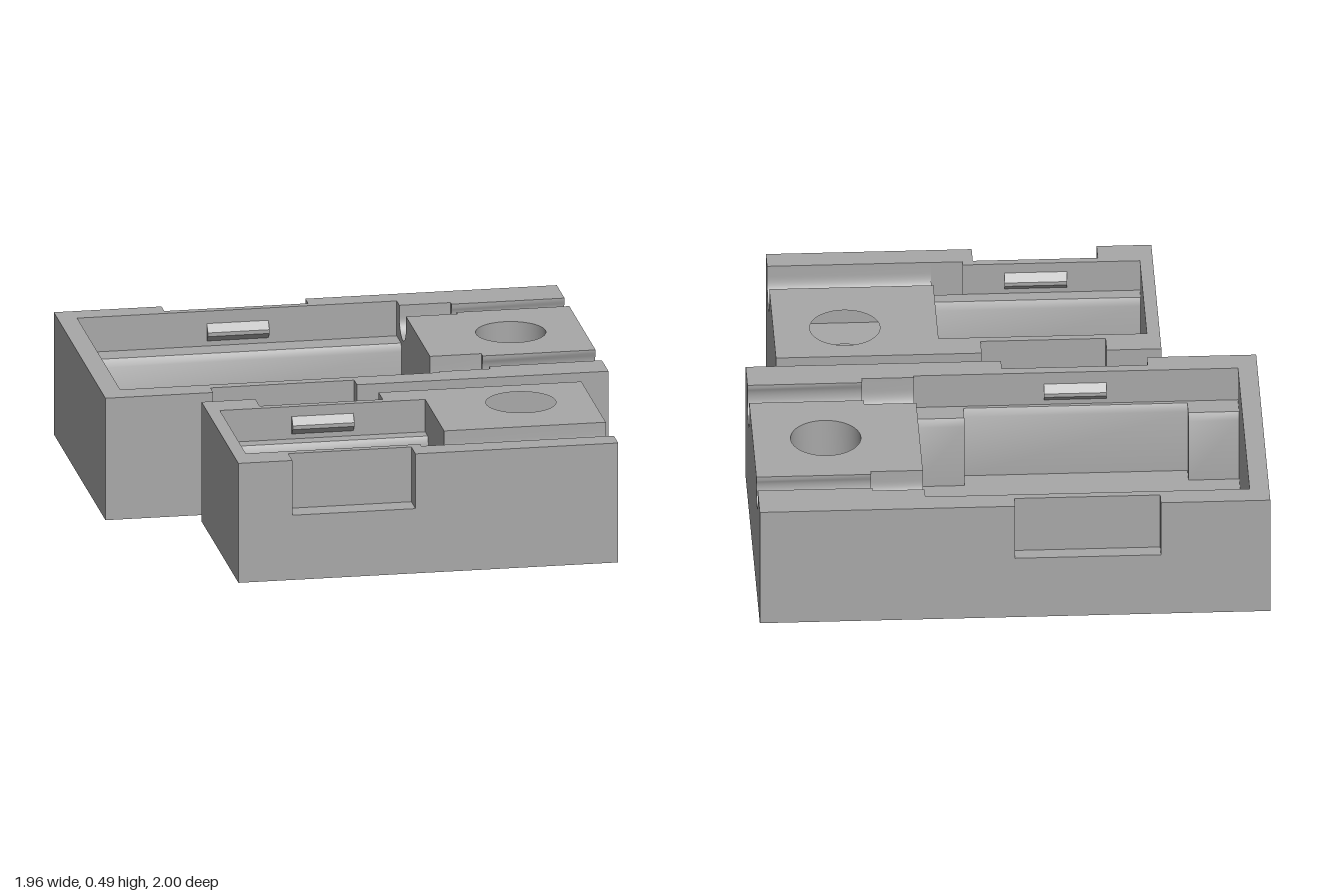
import * as THREE from 'three';
import { toCreasedNormals } from 'three/addons/utils/BufferGeometryUtils.js';

const grey = new THREE.MeshStandardMaterial({ color: 0xa8a8a8 });
grey.name = 'grey plastic';

const FLOOR = 0.06, NOTCH = 0.26, GROOVE = 0.33;

const polygon = (pts) => new THREE.Shape(pts.map(([a, b]) => new THREE.Vector2(a, b)));
const rect = (x0, x1, z0, z1) => [[x0, z0], [x1, z0], [x1, z1], [x0, z1]];
const circle = ([x, z, r]) => new THREE.Path().absarc(x, z, r, 0, Math.PI * 2, true);

function addMesh(group, name, geometry) {
  const mesh = new THREE.Mesh(toCreasedNormals(geometry, 0.5), grey);
  mesh.name = name;
  group.add(mesh);
}

// Plan outline (x, z) raised from y0 to y1
function slab(group, name, pts, holes, y0, y1) {
  const shape = polygon(pts);
  shape.holes.push(...holes);
  const geo = new THREE.ExtrudeGeometry(shape, { depth: y1 - y0, bevelEnabled: false, curveSegments: 32 });
  addMesh(group, name, geo.rotateX(Math.PI / 2).translate(0, y1, 0));
}

// Section (z, y) swept from x0 to x1
function bar(group, name, pts, x0, x1) {
  const geo = new THREE.ExtrudeGeometry(polygon(pts), { depth: x1 - x0, bevelEnabled: false });
  addMesh(group, name, geo.rotateY(-Math.PI / 2).translate(x1, 0, 0));
}

// Cable groove: a strip with a round-bottomed channel; w is half the mouth width
function groove(group, x0, x1, { z, half, cy, r, w, top }) {
  const pts = [[z - half, top], [z - half, GROOVE], [z + half, GROOVE], [z + half, top], [z + w, top]];
  const a = Math.acos(Math.min(1, w / r));
  for (let i = 0; i <= 24; i++) {
    const t = a - (i / 24) * (Math.PI + 2 * a);
    pts.push([z + r * Math.cos(t), cy + r * Math.sin(t)]);
  }
  pts.push([z - w, top]);
  bar(group, 'cableGroove', pts, x0, x1);
}

// Ledge against the wall at z, reaching depth along dir, with a chamfered lip
function ledge(group, x0, x1, z, dir, depth) {
  const e = z + dir * depth;
  bar(group, 'ledge', [[z, FLOOR], [e, FLOOR], [e, 0.32], [e - dir * 0.015, 0.35], [z, 0.35]], x0, x1);
}

// Triangular snap ridge on a cavity wall
function clip(group, x0, x1, z, dir) {
  bar(group, 'snapRidge', [[z, 0.37], [z + dir * 0.025, 0.395], [z + dir * 0.025, 0.41], [z, 0.44]], x0, x1);
}

// Outer outline with a finger notch in the front and back walls
function outline({ x0, x1, z0, z1, n0, n1, d }) {
  return [[x1, z0], [n1, z0], [n1, z0 + d], [n0, z0 + d], [n0, z0], [x0, z0],
    [x0, z1], [n0, z1], [n0, z1 - d], [n1, z1 - d], [n1, z1], [x1, z1]];
}

// Floor and walls up to the level of the grooves
function lowerBody(group, b) {
  const cavity = () => polygon(rect(...b.cavity));
  const box = rect(b.x0, b.x1, b.z0, b.z1);
  slab(group, 'floor', box, [circle(b.bore), ...b.floorHoles.map(circle)], 0, FLOOR);
  slab(group, 'lowerWalls', box, [cavity(), circle(b.bore)], FLOOR, NOTCH);
  slab(group, 'notchedWalls', outline(b), [cavity(), circle(b.bore)], NOTCH, GROOVE);
}

function largeTray() {
  const g = new THREE.Group();
  g.name = 'largeTray';
  const b = { x0: -0.98, x1: 0.98, z0: -1, z1: 0.12, n0: -0.56, n1: 0, d: 0.06,
    cavity: [-0.905, 0.34, -0.91, 0.02], bore: [0.7, -0.44, 0.135], floorHoles: [] };
  const top = 0.49;
  lowerBody(g, b);
  slab(g, 'upperWalls', [...outline(b), [0.98, 0.01], [0.34, 0.01], [0.34, 0.02], [-0.905, 0.02],
    [-0.905, -0.91], [0.34, -0.91], [0.34, -0.86], [0.98, -0.86]], [], GROOVE, top);
  slab(g, 'boredBlock', rect(0.34, 0.98, -0.7, -0.19), [circle(b.bore)], GROOVE, top);
  // Two grooves, each wider near the cavity
  const front = { z: -0.09, half: 0.1, cy: 0.435, top };
  const back = { z: -0.78, half: 0.08, cy: 0.445, top };
  groove(g, 0.34, 0.54, { ...front, r: 0.098, w: 0.098 });
  groove(g, 0.54, 0.98, { ...front, r: 0.08, w: 0.068 });
  groove(g, 0.34, 0.54, { ...back, r: 0.073, w: 0.073 });
  groove(g, 0.54, 0.98, { ...back, r: 0.06, w: 0.052 });
  // Back ledge, thin front ledge and the two front corner posts
  ledge(g, -0.905, 0.34, -0.91, 1, 0.11);
  ledge(g, -0.71, 0.15, 0.02, -1, 0.03);
  ledge(g, -0.905, -0.71, 0.02, -1, 0.105);
  ledge(g, 0.15, 0.34, 0.02, -1, 0.105);
  clip(g, -0.4, -0.16, -0.91, 1);
  clip(g, -0.4, -0.16, 0.02, -1);
  return g;
}

function smallTray() {
  const g = new THREE.Group();
  g.name = 'smallTray';
  const b = { x0: -0.62, x1: 0.86, z0: 0.2, z1: 1, n0: -0.41, n1: 0.07, d: 0.09,
    cavity: [-0.57, 0.23, 0.32, 0.88], bore: [0.585, 0.42, 0.135], floorHoles: [[-0.02, 0.6, 0.065]] };
  const top = 0.48;
  lowerBody(g, b);
  slab(g, 'upperWalls', [...outline(b), [0.86, 0.918], [0.23, 0.918], [0.23, 0.905], [0.11, 0.905],
    [0.11, 0.88], [-0.57, 0.88], [-0.57, 0.32], [0.23, 0.32], [0.23, 0.718], [0.86, 0.718]],
  [circle(b.bore)], GROOVE, top);
  groove(g, 0.23, 0.86, { z: 0.818, half: 0.1, cy: 0.433, r: 0.088, w: 0.088, top });
  ledge(g, -0.57, 0.23, 0.32, 1, 0.07);
  ledge(g, -0.57, 0.23, 0.88, -1, 0.07);
  clip(g, -0.29, -0.05, 0.32, 1);
  clip(g, -0.29, -0.05, 0.88, -1);
  return g;
}

export function createModel() {
  const model = new THREE.Group();
  model.name = 'housingTrays';
  model.add(largeTray(), smallTray());
  return model;
}
